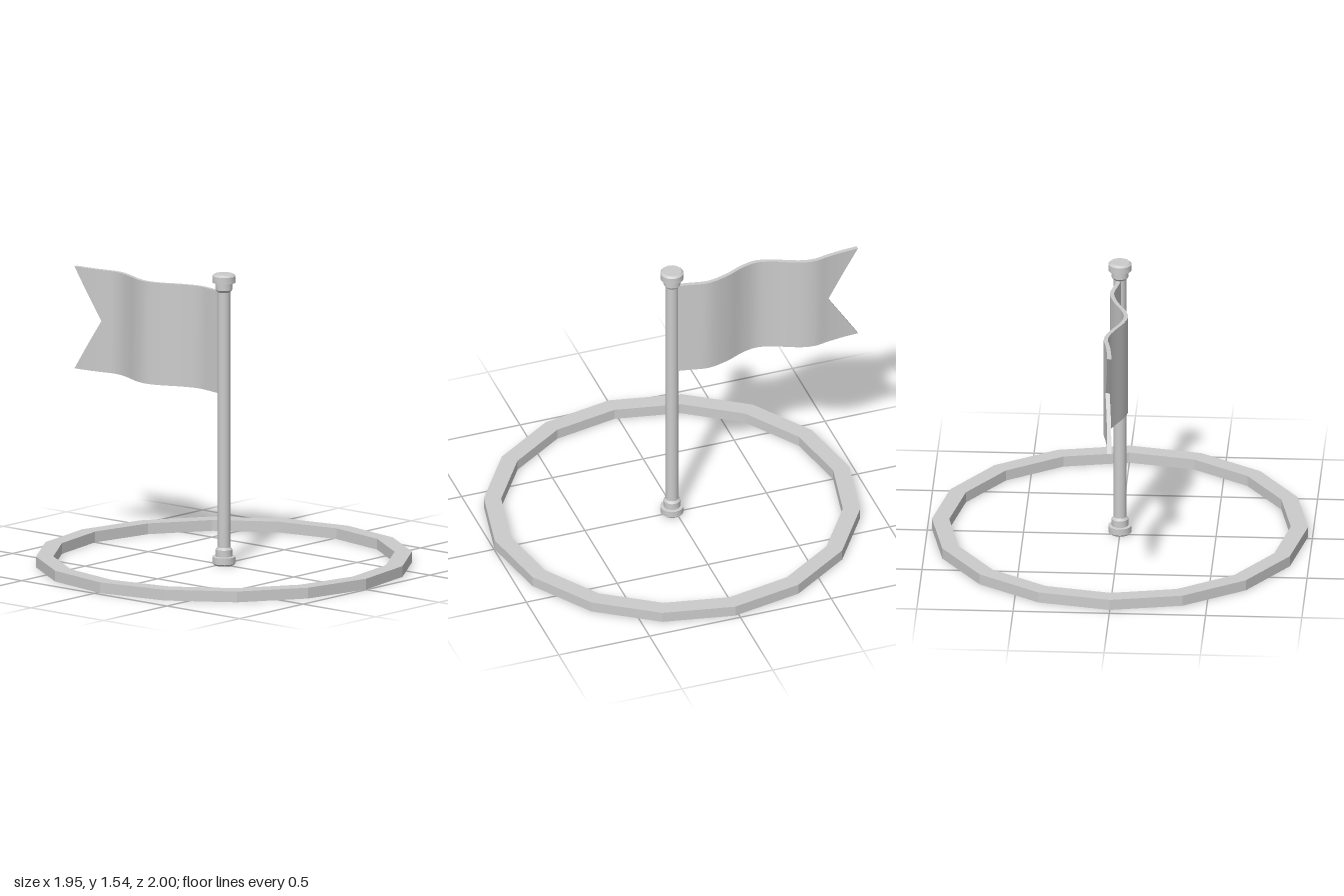
import * as THREE from 'three';
import { toCreasedNormals } from 'three/addons/utils/BufferGeometryUtils.js';

const CZ = 0.02; // ring and pole axis

function lathe(points, sides) {
  return new THREE.LatheGeometry(points.map(([r, y]) => new THREE.Vector2(r, y)), sides);
}

// Waving swallow-tail flag: two mirrored halves swept along a wavy plan curve
function flagGeometry() {
  const bottom = 0.905, top = 1.445, mid = (bottom + top) / 2;
  const notch = -0.83, tip = -1, half = 0.011;
  const wave = new THREE.CatmullRomCurve3([
    [0, 0.01], [0.015, -0.07], [0.031, -0.17], [0.004, -0.28], [-0.04, -0.38],
    [-0.057, -0.46], [-0.04, -0.54], [0, -0.63], [0.025, -0.7], [0.031, -0.76],
    [0.018, notch], [0.006, -0.92], [0, tip],
  ].map(([x, z]) => new THREE.Vector3(x, 0, z)));
  const n = 48;
  const pos = [];
  const quad = (a, b, c, d) => { for (const p of [a, b, c, a, c, d]) pos.push(p.x, p.y, p.z); };

  for (const s of [1, -1]) {
    const outer = s > 0 ? top : bottom;
    // mirrored halves need the corner order reversed
    const face = (a, b, c, d) => (s > 0 ? quad(a, b, c, d) : quad(d, c, b, a));
    const section = (i) => {
      const p = wave.getPoint(i / n);
      const f = Math.max(0, (notch - p.z) / (notch - tip));
      const inner = mid + (outer - mid) * Math.min(1, f);
      const at = (dx, y) => new THREE.Vector3(p.x + dx, y, p.z);
      return { z: p.z, ro: at(half, outer), ri: at(half, inner), lo: at(-half, outer), li: at(-half, inner) };
    };
    for (let i = 0; i < n; i++) {
      const a = section(i), b = section(i + 1);
      face(a.ri, b.ri, b.ro, a.ro);
      face(b.li, a.li, a.lo, b.lo);
      face(a.lo, a.ro, b.ro, b.lo);
      if (b.z < notch - 0.001) face(a.ri, a.li, b.li, b.ri);
      if (i === 0) face(a.li, a.ri, a.ro, a.lo);
    }
  }
  const g = new THREE.BufferGeometry();
  g.setAttribute('position', new THREE.Float32BufferAttribute(pos, 3));
  return toCreasedNormals(g, 0.6);
}

export function createModel() {
  const model = new THREE.Group();
  const smooth = new THREE.MeshStandardMaterial({ color: 0xcccccc });
  const faceted = new THREE.MeshStandardMaterial({ color: 0xcccccc, flatShading: true });
  const cloth = new THREE.MeshStandardMaterial({ color: 0xcccccc, side: THREE.DoubleSide });
  const add = (name, geometry, material, z = CZ) => {
    const mesh = new THREE.Mesh(geometry, material);
    mesh.name = name;
    mesh.position.z = z;
    model.add(mesh);
  };

  // Sixteen-sided ground ring
  const R = 0.977, r = 0.887, h = 0.057;
  add('groundRing', lathe([[r, 0], [R, 0], [R, h], [r, h], [r, 0]], 16), faceted);

  // Pole shaft
  add('pole', new THREE.CylinderGeometry(0.033, 0.033, 1.38, 16, 1, true).translate(0, 0.77, 0), smooth);

  // Stepped collar, used upright at the top and flipped at the foot
  const steps = [[0, 0], [0.034, 0], [0.044, 0.012], [0.044, 0.048], [0.061, 0.05], [0.061, 0.085], [0.05, 0.095], [0, 0.095]];
  add('poleCap', toCreasedNormals(lathe(steps.map(([x, y]) => [x, 1.445 + y]), 16), 0.5), smooth);
  add('poleFoot', toCreasedNormals(lathe(steps.map(([x, y]) => [x, 0.095 - y]).reverse(), 16), 0.5), smooth);

  add('flag', flagGeometry(), cloth, 0);
  return model;
}
